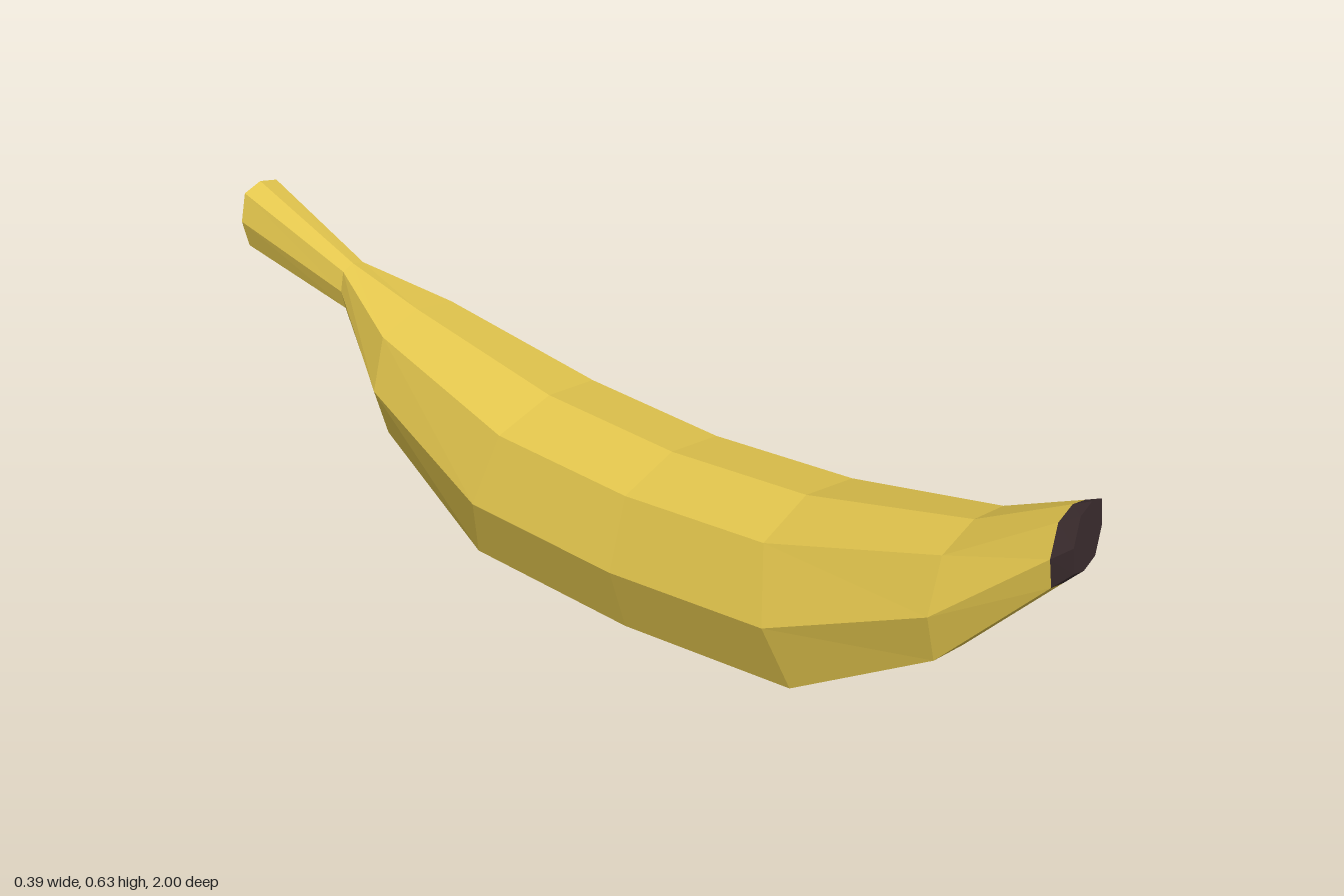
import * as THREE from 'three';

// Eight-sided cross-section: x as a share of half width, y as a share of half height
const OCT = [[0, 1], [0.75, 0.83], [1, 0], [0.75, -0.83], [0, -1], [-0.75, -0.83], [-1, 0], [-0.75, 0.83]];

// Ring stations: [top z, top y, bottom z, bottom y, half width]
const TIP = [1, 0.585, 1, 0.445, 0.05];
const COLLAR = [0.965, 0.566, 0.965, 0.406, 0.063];
const NECK = [-0.735, 0.517, -0.735, 0.415, 0.04];
const BODY = [
  COLLAR,
  [0.78, 0.465, 0.78, 0.195, 0.14],
  [0.425, 0.382, 0.51, 0.026, 0.196],
  [0.11, 0.362, 0.11, 0.001, 0.196],
  [-0.2, 0.382, -0.28, 0.026, 0.196],
  [-0.555, 0.465, -0.555, 0.195, 0.14],
  NECK,
];
const STALK = [NECK, [-1, 0.633, -1, 0.487, 0.062]];

function ringPoints([zt, yt, zb, yb, w]) {
  return OCT.map(([u, v]) => [
    u * w,
    (yt + yb) / 2 + v * (yt - yb) / 2,
    (zt + zb) / 2 + v * (zt - zb) / 2,
  ]);
}

// Skin the rings from front to back, closing either end on request
function loft(name, stations, material, capFront, capBack) {
  const rings = stations.map(ringPoints);
  const pos = [];
  const tri = (a, b, c) => pos.push(...a, ...b, ...c);
  for (let i = 0; i < rings.length - 1; i++) {
    for (let j = 0; j < 8; j++) {
      const k = (j + 1) % 8;
      const [a, b, c, d] = [rings[i][j], rings[i][k], rings[i + 1][k], rings[i + 1][j]];
      tri(a, b, c);
      tri(a, c, d);
    }
  }
  const first = rings[0], last = rings[rings.length - 1];
  for (let j = 1; j < 7; j++) {
    if (capFront) tri(first[0], first[j + 1], first[j]);
    if (capBack) tri(last[0], last[j], last[j + 1]);
  }
  const geometry = new THREE.BufferGeometry();
  geometry.setAttribute('position', new THREE.Float32BufferAttribute(pos, 3));
  geometry.computeVertexNormals();
  const mesh = new THREE.Mesh(geometry, material);
  mesh.name = name;
  return mesh;
}

export function createModel() {
  const peel = new THREE.MeshStandardMaterial({ color: 0xe2c54d });
  peel.name = 'yellow peel';
  const dark = new THREE.MeshStandardMaterial({ color: 0x3d2e30 });
  dark.name = 'dark brown tip';
  peel.flatShading = dark.flatShading = true;

  const group = new THREE.Group();
  group.name = 'banana';
  group.add(
    loft('blossomTip', [TIP, COLLAR], dark, true, false),
    loft('fruitBody', BODY, peel, false, false),
    loft('stalk', STALK, peel, false, true),
  );
  return group;
}
